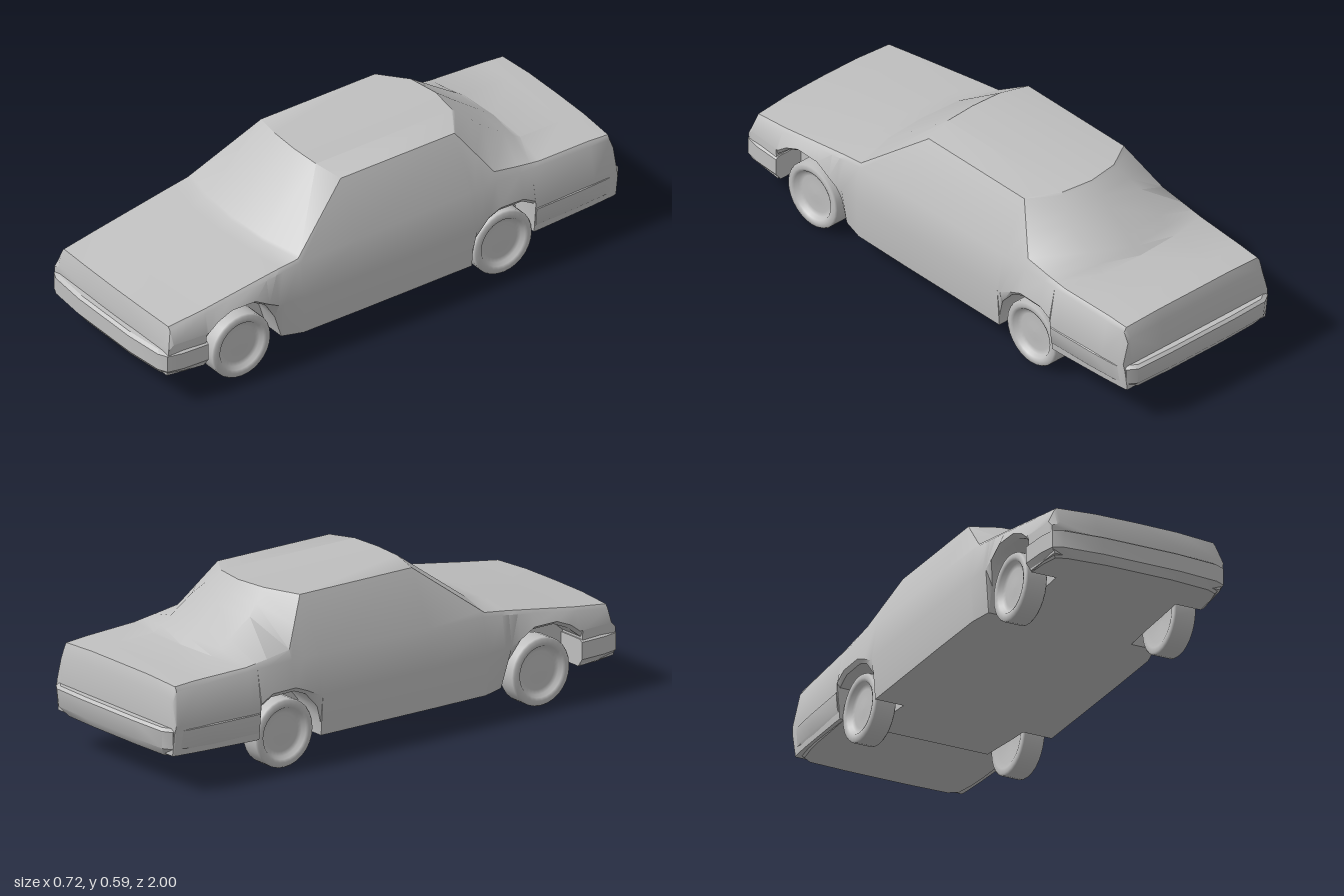
import * as THREE from 'three';
import { toCreasedNormals } from 'three/addons/utils/BufferGeometryUtils.js';

// Closed solid through rings of [x, y, z] points, counter-clockwise seen from the first ring's side
function loft(rings, crease = 0.6) {
  const n = rings[0].length, pos = rings.flat(2), idx = [];
  for (let i = 0; i < rings.length - 1; i++) {
    for (let j = 0; j < n; j++) {
      const k = (j + 1) % n;
      const a = i * n + j, b = i * n + k, c = b + n, d = a + n;
      idx.push(a, d, c, a, c, b);
    }
  }
  for (const end of [0, rings.length - 1]) {
    const centre = pos.length / 3;
    for (let q = 0; q < 3; q++) pos.push(rings[end].reduce((s, p) => s + p[q], 0) / n);
    for (let j = 0; j < n; j++) {
      const a = end * n + j, b = end * n + (j + 1) % n;
      idx.push(centre, end ? b : a, end ? a : b);
    }
  }
  const g = new THREE.BufferGeometry();
  g.setAttribute('position', new THREE.Float32BufferAttribute(pos, 3));
  g.setIndex(idx);
  return toCreasedNormals(g, crease);
}

// Linear interpolation in a table sorted by falling z (first column)
function sample(keys, z) {
  let i = 0;
  while (i < keys.length - 2 && keys[i + 1][0] >= z) i++;
  const a = keys[i], b = keys[i + 1], t = (a[0] - z) / (a[0] - b[0]);
  return a.map((v, q) => v + (b[q] - v) * t);
}

// Bonnet, cabin and boot: z, bow, shoulder x, shoulder y, edge x, edge y, centre y
const UPPER = [
  [0.965, 0.005, 0.315, 0.24, 0.305, 0.25, 0.25],
  [0.945, 0.01, 0.318, 0.297, 0.308, 0.31, 0.316],
  [0.8, 0.01, 0.328, 0.318, 0.316, 0.33, 0.338],
  [0.5, 0.03, 0.334, 0.365, 0.322, 0.378, 0.386],
  [0.4, 0.05, 0.334, 0.378, 0.325, 0.392, 0.4],
  [0.15, 0.03, 0.336, 0.385, 0.235, 0.583, 0.595],
  [-0.34, -0.09, 0.335, 0.39, 0.235, 0.583, 0.595],
  [-0.45, -0.07, 0.333, 0.39, 0.318, 0.425, 0.525],
  [-0.55, -0.06, 0.333, 0.388, 0.32, 0.41, 0.458],
  [-0.64, -0.04, 0.332, 0.385, 0.32, 0.398, 0.406],
  [-0.86, 0, 0.325, 0.375, 0.312, 0.392, 0.402],
  [-0.945, -0.005, 0.32, 0.37, 0.31, 0.386, 0.395],
  [-0.962, -0.004, 0.318, 0.33, 0.305, 0.345, 0.35],
  [-0.968, 0, 0.315, 0.23, 0.305, 0.24, 0.24],
];

// Floor and wheel arches: z, floor y, side panel bottom y, lip inset
const LOWER = [
  [0.965, 0.125, 0.125, 0], [0.812, 0.118, 0.118, 0],
  [0.81, 0.118, 0.225, 0], [0.76, 0.115, 0.265, 0.01],
  [0.7, 0.112, 0.29, 0.015], [0.6, 0.108, 0.29, 0.015],
  [0.54, 0.104, 0.255, 0.02], [0.5, 0.101, 0.19, 0.02],
  [0.472, 0.1, 0.1, 0.02], [0.39, 0.095, 0.095, 0],
  [-0.333, 0.095, 0.095, 0], [-0.335, 0.095, 0.14, 0],
  [-0.35, 0.097, 0.205, 0], [-0.4, 0.1, 0.26, 0],
  [-0.45, 0.105, 0.28, 0], [-0.55, 0.115, 0.278, 0],
  [-0.6, 0.12, 0.25, 0], [-0.602, 0.132, 0.132, 0],
  [-0.968, 0.14, 0.14, 0],
];

// One cross-section: floor, wheel well, side, shoulder, roof edge, centre, mirrored
function section(z) {
  const [, bow, xs, ys, xe, ye, yc] = sample(UPPER, z);
  const [, yf, yb, inset] = sample(LOWER, z);
  const half = [
    [0, yf, z],
    [0.235, yf, z],
    [0.235, yb, z],
    [xs * 1.035 - inset, yb, z],
    [xs * 1.07 - inset * 0.3, Math.min(Math.max(0.25, yb + 0.015), ys - 0.01), z],
    [xs, ys, z],
    [xe, ye, z],
    [xe * 0.52, ye + (yc - ye) * 0.92, z + bow * 0.8],
    [0, yc, z + bow],
  ];
  return [...half, ...half.slice(1, -1).reverse().map(([x, y, w]) => [-x, y, w])];
}

function bodyGeometry() {
  const zs = [...new Set([...UPPER, ...LOWER].map(k => k[0]))].sort((a, b) => b - a);
  return loft(zs.map(section));
}

// Wraparound bumper from a half plan [x, z] and levels [y, inset], top to bottom
function bumperGeometry(plan, levels) {
  return loft(levels.map(([y, inset]) => {
    const side = plan.map(([x, z]) => [x - inset, y, z > 0.9 ? z - inset : z]);
    return [...side.map(([x, h, z]) => [-x, h, z]).reverse(), ...side];
  }));
}

// Wheel with a dished face pointing along +x
function wheelGeometry() {
  const profile = [
    [0, -0.03], [0.08, -0.034], [0.1, -0.042], [0.118, -0.042], [0.125, -0.036],
    [0.125, 0.034], [0.12, 0.041], [0.105, 0.0425], [0.094, 0.038],
    [0.086, 0.024], [0.07, 0.02], [0.035, 0.022], [0, 0.023],
  ].map(([r, h]) => new THREE.Vector2(r, h));
  return new THREE.LatheGeometry(profile, 28).rotateZ(-Math.PI / 2);
}

export function createModel() {
  const car = new THREE.Group();
  car.name = 'sedan';
  const grey = new THREE.MeshStandardMaterial({ color: 0xbfbfbf });
  grey.name = 'grey';

  const add = (name, geometry) => {
    const mesh = new THREE.Mesh(geometry, grey);
    mesh.name = name;
    car.add(mesh);
    return mesh;
  };

  add('body', bodyGeometry());

  add('frontBumper', bumperGeometry(
    [[0.15, 0.998], [0.3, 0.985], [0.336, 0.968], [0.349, 0.91], [0.354, 0.805]],
    [[0.217, 0.012], [0.208, 0], [0.145, 0], [0.116, 0.022]],
  ));

  // The rear bumper is drawn facing forwards, then turned round
  add('rearBumper', bumperGeometry(
    [[0.15, 1], [0.3, 0.995], [0.334, 0.972], [0.345, 0.91], [0.352, 0.8], [0.357, 0.605]],
    [[0.24, 0.01], [0.23, 0], [0.165, 0.005], [0.131, 0.03]],
  )).rotation.y = Math.PI;

  // Four wheels, dished side outwards
  const wheel = wheelGeometry();
  for (const [end, z] of [['front', 0.645], ['rear', -0.48]]) {
    for (const side of [1, -1]) {
      const mesh = add(end + (side > 0 ? 'Left' : 'Right') + 'Wheel', wheel);
      mesh.position.set(side * 0.292, 0.127, z);
      if (side < 0) mesh.rotation.y = Math.PI;
    }
  }
  return car;
}
